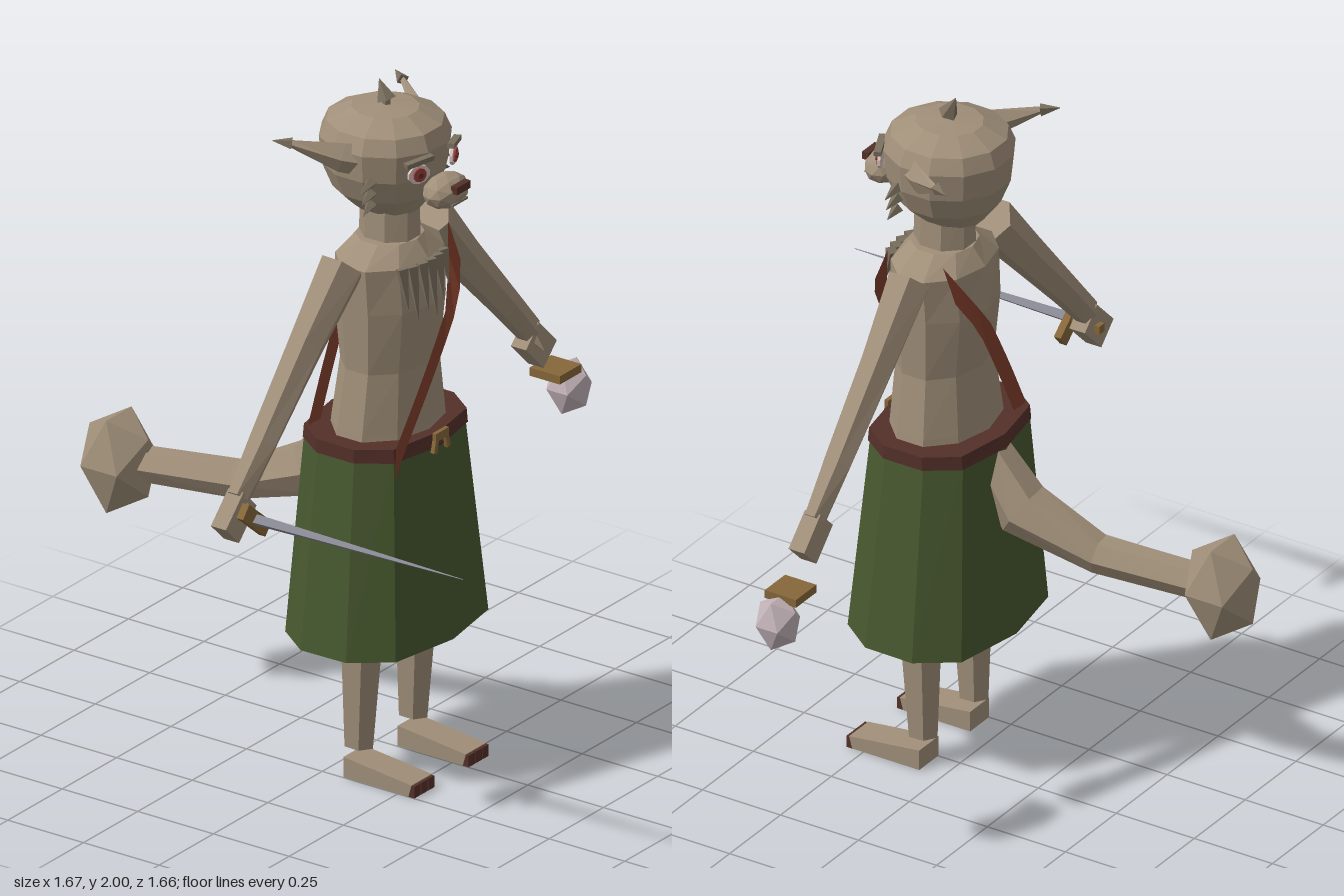
import * as THREE from 'three';

const mat = (name, color) => new THREE.MeshStandardMaterial({ name, color, flatShading: true, side: THREE.DoubleSide });
const V = (x, y, z) => new THREE.Vector3(x, y, z);

// Unit circle cross-section
const ngon = (n, phase = 0) => Array.from({ length: n }, (_, i) => {
  const a = (i / n) * Math.PI * 2 + phase;
  return [Math.cos(a), Math.sin(a)];
});

// Loft through rings [x, y, z, ru, rv]; u is the direction of the first radius
function loft(rings, section, u = V(1, 0, 0), caps = true) {
  const n = section.length, pos = [];
  const centres = rings.map((r) => V(r[0], r[1], r[2]));
  const loops = rings.map((r, k) => {
    const t = centres[Math.min(k + 1, rings.length - 1)].clone().sub(centres[Math.max(k - 1, 0)]).normalize();
    const a = u.clone().addScaledVector(t, -u.dot(t)).normalize();
    const b = t.clone().cross(a);
    return section.map(([c, s]) => centres[k].clone().addScaledVector(a, c * r[3]).addScaledVector(b, s * r[4]));
  });
  const tri = (...p) => p.forEach((v) => pos.push(v.x, v.y, v.z));
  for (let i = 0; i < n; i++) {
    const j = (i + 1) % n;
    for (let k = 0; k + 1 < loops.length; k++) {
      tri(loops[k][i], loops[k][j], loops[k + 1][j]);
      tri(loops[k][i], loops[k + 1][j], loops[k + 1][i]);
    }
    if (caps) {
      const e = loops.length - 1;
      tri(centres[0], loops[0][j], loops[0][i]);
      tri(centres[e], loops[e][i], loops[e][j]);
    }
  }
  const g = new THREE.BufferGeometry();
  g.setAttribute('position', new THREE.Float32BufferAttribute(pos, 3));
  g.computeVertexNormals();
  return g;
}

export function createModel() {
  const fur = mat('tan fur', 0xa08f79);
  const darkFur = mat('dark fur', 0x7b705f);
  const green = mat('skirt green', 0x48592f);
  const red = mat('sash red', 0x84402d);
  const leather = mat('dark leather', 0x55302a);
  const brass = mat('brass', 0x86673a);
  const steel = mat('steel', 0x868792);
  const crystal = mat('crystal', 0xc2b2b8);
  const eyeWhite = mat('eye white', 0xd8c2bd);
  const iris = mat('iris red', 0x9c3a38);

  const model = new THREE.Group();
  const body = new THREE.Group();
  body.name = 'body';
  body.position.x = -0.078;
  model.add(body);

  const add = (name, geo, m, p = [0, 0, 0], r = [0, 0, 0], parent = body) => {
    const mesh = new THREE.Mesh(geo, m);
    mesh.name = name;
    mesh.position.set(...p);
    mesh.rotation.set(...r);
    parent.add(mesh);
    return mesh;
  };
  const box = (x, y, z) => new THREE.BoxGeometry(x, y, z);
  const spike = (name, a, b, r, m, sides = 4) =>
    add(name, loft([[...a, r, r], [...b, 0.001, 0.001]], ngon(sides), V(0.3, 0.2, 1)), m);

  // Torso and neck
  add('torso', loft([
    [0, 0.93, 0.095, 0.2, 0.145], [0, 1.03, 0.095, 0.187, 0.135], [0, 1.2, 0.1, 0.16, 0.12],
    [0, 1.38, 0.1, 0.17, 0.14], [0, 1.51, 0.1, 0.178, 0.13], [0, 1.56, 0.1, 0.1, 0.09]],
  ngon(10, Math.PI / 10)), fur);
  add('neck', loft([[0, 1.5, 0.1, 0.08, 0.088], [0, 1.68, 0.1, 0.073, 0.085]], ngon(8, Math.PI / 8)), fur);

  // Skirt, belt and buckle
  const hip = [[1, 0.34], [0.73, 0.83], [0, 1], [-0.73, 0.83], [-1, 0.34],
    [-1, -0.34], [-0.73, -0.83], [0, -1], [0.73, -0.83], [1, -0.34]];
  add('skirt', loft([[0, 0.99, 0.083, 0.225, 0.178], [0, 0.41, 0.09, 0.292, 0.22]], hip, V(1, 0, 0), false), green);
  add('belt', loft([[0, 0.972, 0.085, 0.231, 0.183], [0, 1.012, 0.085, 0.231, 0.178]], hip), leather);
  add('buckle', box(0.06, 0.025, 0.012), brass, [0, 1.005, 0.268]);
  for (const s of [-1, 1]) add('bucklePin', box(0.015, 0.05, 0.012), brass, [s * 0.025, 0.985, 0.268], [0, 0, s * 0.25]);

  // Sash: bowed ribbons over the chest and the back
  for (const s of [1, -1]) {
    const g = new THREE.PlaneGeometry(1, 1, 8, 1);
    const p = g.attributes.position;
    for (let i = 0; i < p.count; i++) {
      const t = p.getX(i) + 0.5;
      const y = 0.97 + 0.54 * t + p.getY(i) * 0.1;
      const bow = y > 1.37 ? 0.165 - (y - 1.37) * 0.4 : 0.14 + 0.025 * Math.sin(Math.max(0, y - 0.97) / 0.4 * Math.PI / 2);
      p.setXYZ(i, -0.172 + 0.317 * t, y, 0.1 + s * bow);
    }
    g.computeVertexNormals();
    add(s > 0 ? 'frontSash' : 'backSash', g, red);
  }

  // Chest fur
  [[-0.1, 1.4], [-0.07, 1.36], [-0.035, 1.38], [0, 1.355], [0.035, 1.39], [0.07, 1.42]].forEach(([x, y]) => {
    const z = 0.1 + 0.148 * Math.sqrt(1 - (x / 0.19) ** 2);
    spike('chestTuft', [x, 1.515, z - 0.015], [x, y, z + 0.008], 0.02, darkFur);
  });

  // Head
  add('head', loft([
    [0, 1.64, 0.085, 0.075, 0.1], [0, 1.7, 0.085, 0.142, 0.145], [0, 1.77, 0.085, 0.172, 0.173],
    [0, 1.85, 0.085, 0.18, 0.182], [0, 1.895, 0.085, 0.16, 0.163], [0, 1.928, 0.085, 0.09, 0.095],
    [0, 1.935, 0.085, 0.002, 0.002]], ngon(12, Math.PI / 12)), fur);
  add('crestStem', new THREE.CylinderGeometry(0.01, 0.014, 0.04, 5), darkFur, [0, 1.94, 0.09]);
  spike('crest', [0, 1.946, 0.09], [0, 2, 0.065], 0.028, darkFur, 5);

  // Muzzle and nose
  const muzzle = add('muzzle', new THREE.IcosahedronGeometry(1, 1), fur, [0, 1.73, 0.285]);
  muzzle.scale.set(0.077, 0.048, 0.055);
  add('nose', box(0.062, 0.022, 0.02), leather, [0, 1.752, 0.335]);
  add('mouth', box(0.07, 0.006, 0.008), darkFur, [0, 1.708, 0.33]);

  for (const s of [-1, 1]) {
    // Eyes and brows
    const eye = new THREE.Group();
    eye.name = s > 0 ? 'leftEye' : 'rightEye';
    eye.position.set(s * 0.08, 1.797, 0.253);
    eye.rotation.y = s * 0.4;
    body.add(eye);
    const disc = (name, r, m, z) => add(name, new THREE.CylinderGeometry(r, r, 0.008, 10), m, [0, 0, z], [Math.PI / 2, 0, 0], eye);
    disc('eyeball', 0.034, eyeWhite, 0).scale.z = 0.8;
    disc('iris', 0.02, iris, 0.005);
    disc('pupil', 0.008, leather, 0.009);
    add('brow', box(0.085, 0.014, 0.02), darkFur, [0, 0.038, 0.002], [0, 0, -s * 0.12], eye);

    // Ears with dark tips, and cheek tufts
    add('ear', loft([[s * 0.11, 1.815, 0.16, 0.05, 0.025], [s * 0.18, 1.835, 0.07, 0.043, 0.022],
      [s * 0.26, 1.876, -0.045, 0.01, 0.008]], ngon(4), V(0, 1, 0)), fur);
    spike('earTip', [s * 0.255, 1.875, -0.04], [s * 0.283, 1.882, -0.085], 0.018, darkFur);
    for (let i = 0; i < 3; i++)
      spike('cheekTuft', [s * 0.155, 1.775 - i * 0.032, 0.15], [s * (0.21 - i * 0.006), 1.757 - i * 0.033, 0.155], 0.018, darkFur);

    // Arms and hands
    add('arm', loft([[s * 0.2, 1.525, 0.085, 0.065, 0.07], [s * 0.36, 1.35, 0.08, 0.05, 0.058],
      [s * 0.56, 1.135, 0.08, 0.042, 0.044], [s * 0.67, 1.015, 0.08, 0.03, 0.04]], ngon(6), V(0, 0, 1)), fur);
    add('hand', box(0.085, 0.115, 0.05), fur, [s * 0.69, 0.97, 0.08], [0, 0, s * 0.78]);
    spike('thumb', [s * 0.665, 1.0, 0.09], [s * 0.675, 0.965, 0.125], 0.018, fur);

    // Legs, feet and claws
    add('leg', loft([[s * 0.125, 0.9, 0.1, 0.075, 0.08], [s * 0.125, 0.41, 0.097, 0.056, 0.068],
      [s * 0.125, 0.09, 0.088, 0.04, 0.046]], ngon(6, Math.PI / 6)), fur);
    const side = new THREE.Shape([[0.07, 0.005], [0.285, 0.005], [0.295, 0.04], [0.07, 0.065]].map((q) => new THREE.Vector2(...q)));
    const foot = new THREE.ExtrudeGeometry(side, { depth: 0.094, bevelEnabled: false });
    add('foot', foot, fur, [s * 0.125 + 0.047, 0, 0], [0, -Math.PI / 2, 0]);
    for (let i = -1; i <= 1; i++)
      add('claw', box(0.028, 0.034, 0.026), leather, [s * 0.125 + i * 0.032, 0.021, 0.291]);
  }

  // Tail with faceted club
  add('tail', loft([[0, 0.95, -0.04, 0.06, 0.06], [0, 0.8, -0.15, 0.075, 0.085],
    [-0.03, 0.715, -0.375, 0.053, 0.055], [-0.072, 0.7, -0.66, 0.05, 0.05]], ngon(6)), fur);
  const club = add('tailClub', new THREE.IcosahedronGeometry(1, 0), fur, [-0.087, 0.697, -0.733]);
  club.scale.set(0.111, 0.16, 0.114);

  // Dagger in the right hand
  add('daggerGuard', box(0.135, 0.045, 0.022), brass, [-0.68, 0.97, 0.14], [0, 0, -0.7]);
  add('daggerGrip', box(0.025, 0.025, 0.1), brass, [-0.68, 0.97, 0.09]);
  add('daggerBlade', loft([[-0.682, 0.973, 0.15, 0.02, 0.017], [-0.677, 0.975, 0.83, 0.001, 0.001]], ngon(4)), steel);

  // Floating crystal with its mount by the left hand
  add('crystalMount', box(0.1, 0.024, 0.1), brass, [0.794, 0.852, 0.077]);
  const gem = add('crystal', new THREE.IcosahedronGeometry(1, 0), crystal, [0.852, 0.785, 0.08]);
  gem.scale.set(0.066, 0.084, 0.066);

  return model;
}
